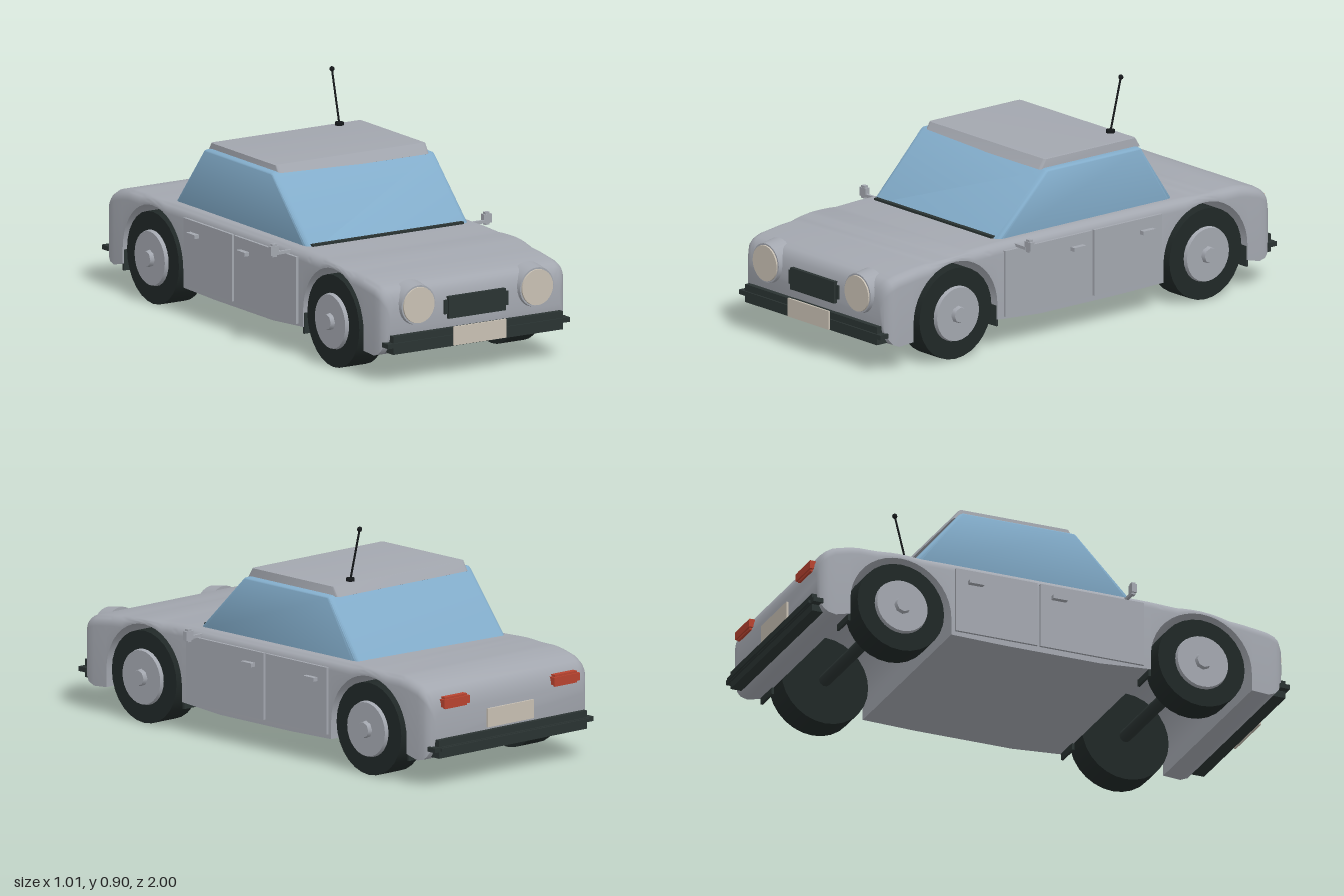
import * as THREE from 'three';
import { toCreasedNormals } from 'three/addons/utils/BufferGeometryUtils.js';
import { RoundedBoxGeometry } from 'three/addons/geometries/RoundedBoxGeometry.js';

const mat = (name, color) => {
  const m = new THREE.MeshStandardMaterial({ color });
  m.name = name;
  return m;
};

// Body shell: rounded-top sections lofted from nose to tail; each ring is [z, bottom, top, halfWidth]
function bodyGeometry() {
  const tops = [[-0.966, 0.29], [-0.96, 0.325], [-0.945, 0.36], [-0.92, 0.382], [-0.88, 0.4], [-0.8, 0.412], [-0.4, 0.414],
    [0.4, 0.412], [0.62, 0.403], [0.8, 0.388], [0.9, 0.374], [0.93, 0.364], [0.945, 0.354], [0.96, 0.33], [0.967, 0.29]];
  const topAt = (z) => {
    let i = 1;
    while (i < tops.length - 1 && z > tops[i][0]) i++;
    const [[z0, y0], [z1, y1]] = [tops[i - 1], tops[i]];
    return y0 + (y1 - y0) * (z - z0) / (z1 - z0);
  };
  const rings = [];
  const add = (z, bottom, w = 0.42) => rings.push([z, bottom, topAt(z), w]);
  const arch = (zc) => {
    add(zc + 0.21, 0.105);
    for (let i = 0; i <= 20; i++) {
      const a = Math.PI * i / 20;
      add(zc + 0.21 * Math.cos(a), 0.175 + 0.21 * Math.sin(a));
    }
    add(zc - 0.21, 0.115);
  };
  add(0.967, 0.21, 0.387);
  add(0.96, 0.165, 0.4);
  add(0.945, 0.13, 0.413);
  add(0.93, 0.112, 0.418);
  add(0.9, 0.1);
  arch(0.62);
  add(0.2, 0.1);
  add(-0.2, 0.1);
  arch(-0.63);
  add(-0.9, 0.1);
  add(-0.93, 0.107, 0.418);
  add(-0.945, 0.12, 0.413);
  add(-0.96, 0.15, 0.4);
  add(-0.966, 0.19, 0.387);

  const pos = [], idx = [], arc = 6, n = 2 * (arc + 2);
  for (const [z, b, t, w] of rings) {
    const r = Math.min(0.04, (t - b) * 0.9);
    const half = [[w, b]];
    for (let i = 0; i <= arc; i++) {
      const a = Math.PI / 2 * i / arc;
      half.push([w - r + r * Math.cos(a), t - r + r * Math.sin(a)]);
    }
    for (const [x, y] of half) pos.push(x, y, z);
    for (const [x, y] of half.reverse()) pos.push(-x, y, z);
  }
  const last = (rings.length - 1) * n;
  for (let i = 0; i < rings.length - 1; i++) {
    for (let j = 0; j < n; j++) {
      const a = i * n + j, b = i * n + (j + 1) % n;
      idx.push(a, a + n, b, b, a + n, b + n);
    }
  }
  for (let j = 1; j < n - 1; j++) idx.push(0, j, j + 1, last, last + j + 1, last + j);
  const g = new THREE.BufferGeometry();
  g.setAttribute('position', new THREE.Float32BufferAttribute(pos, 3));
  g.setIndex(idx);
  g.computeVertexNormals();
  return toCreasedNormals(g, 0.6);
}

// Softened box whose eight corners are placed by a rule
function cornerBox(corner, radius) {
  const g = new RoundedBoxGeometry(1, 1, 1, 2, radius);
  const p = g.attributes.position;
  const v = new THREE.Vector3(), sum = new THREE.Vector3();
  for (let i = 0; i < p.count; i++) {
    v.fromBufferAttribute(p, i);
    sum.set(0, 0, 0);
    for (const sx of [-1, 1]) for (const sy of [-1, 1]) for (const sz of [-1, 1]) {
      const weight = (0.5 + sx * v.x) * (0.5 + sy * v.y) * (0.5 + sz * v.z);
      sum.addScaledVector(new THREE.Vector3(...corner(sx, sy, sz)), weight);
    }
    p.setXYZ(i, sum.x, sum.y, sum.z);
  }
  return toCreasedNormals(g, 0.6);
}

export function createModel() {
  const car = new THREE.Group();
  car.name = 'car';
  const paint = mat('grey paint', 0xa3a7af);
  const glass = mat('blue glass', 0x82acca);
  const dark = mat('dark trim', 0x2a3332);
  const rubber = mat('black rubber', 0x202827);
  const black = mat('antenna black', 0x15181a);
  const cream = mat('cream', 0xc8c0b3);
  const red = mat('red lamp', 0xb8432f);

  const mesh = (name, geo, m, x = 0, y = 0, z = 0, parent = car) => {
    const o = new THREE.Mesh(geo, m);
    o.name = name;
    o.position.set(x, y, z);
    parent.add(o);
    return o;
  };
  // Box given by its lower and upper bounds
  const box = (name, m, [x0, x1], [y0, y1], [z0, z1]) =>
    mesh(name, new THREE.BoxGeometry(x1 - x0, y1 - y0, z1 - z0), m, (x0 + x1) / 2, (y0 + y1) / 2, (z0 + z1) / 2);
  // Same box on both sides
  const pair = (name, m, [x0, x1], y, z) => {
    box('left' + name, m, [x0, x1], y, z);
    box('right' + name, m, [-x1, -x0], y, z);
  };

  mesh('body', bodyGeometry(), paint);

  // Cabin glass, slightly skewed at the rear, and roof
  mesh('cabinGlass', cornerBox((sx, sy, sz) => {
    const y = sy > 0 ? (sx > 0 ? 0.643 : 0.654) : 0.39;
    const z = sy > 0 ? (sz > 0 ? 0.12 : -0.355) : (sz > 0 ? 0.385 : (sx > 0 ? -0.525 : -0.575));
    return [sx * 0.37, y, z];
  }, 0.03), glass);
  mesh('roof', cornerBox((sx, sy, sz) => [
    sx * 0.342, sy > 0 ? 0.677 : 0.638,
    sy > 0 ? (sz > 0 ? 0.105 : -0.35) : (sz > 0 ? 0.13 : -0.375),
  ], 0.02), paint);
  box('cowlStrip', dark, [-0.35, 0.34], [0.4, 0.42], [0.32, 0.372]);

  // Doors, handles and mirrors
  pair('FrontDoor', paint, [0.415, 0.43], [0.122, 0.383], [-0.054, 0.378]);
  pair('RearDoor', paint, [0.415, 0.43], [0.122, 0.383], [-0.405, -0.066]);
  for (const z of [0.022, -0.325]) pair('DoorHandle', paint, [0.425, 0.451], [0.323, 0.338], [z - 0.03, z + 0.03]);
  pair('MirrorArm', paint, [0.41, 0.475], [0.386, 0.398], [0.304, 0.316]);
  pair('MirrorHead', paint, [0.468, 0.503], [0.385, 0.42], [0.295, 0.315]);
  pair('MirrorRim', paint, [0.475, 0.495], [0.378, 0.428], [0.297, 0.313]);

  // Wheels, axles and mud flaps
  const tyre = new THREE.CylinderGeometry(0.18, 0.18, 0.12, 28).rotateZ(-Math.PI / 2);
  const rim = new THREE.CylinderGeometry(0.105, 0.113, 0.03, 28).rotateZ(-Math.PI / 2);
  const cap = new THREE.CylinderGeometry(0.03, 0.037, 0.03, 8).rotateZ(-Math.PI / 2);
  for (const [end, z] of [['front', 0.62], ['rear', -0.63]]) {
    for (const side of [1, -1]) {
      const wheel = new THREE.Group();
      wheel.name = end + (side > 0 ? 'Left' : 'Right') + 'Wheel';
      wheel.position.set(side * 0.36, 0.18, z);
      if (side < 0) wheel.rotation.y = Math.PI;
      mesh('tyre', tyre, rubber, 0, 0, 0, wheel);
      mesh('rim', rim, paint, 0.06, 0, 0, wheel);
      mesh('hubCap', cap, paint, 0.077, 0, 0, wheel);
      car.add(wheel);
    }
    mesh(end + 'Axle', new THREE.CylinderGeometry(0.025, 0.025, 0.62, 10).rotateZ(Math.PI / 2), dark, 0, 0.18, z);
    pair(end + 'MudFlap', dark, [0.31, 0.415], [0.088, 0.17], [z - 0.218, z - 0.208]);
  }

  // Headlights
  for (const side of [1, -1]) {
    const name = side > 0 ? 'left' : 'right';
    mesh(name + 'HeadlightShell', new THREE.CylinderGeometry(0.077, 0.087, 0.07, 32).rotateX(Math.PI / 2), paint, side * 0.27, 0.295, 0.947);
    mesh(name + 'HeadlightLens', new THREE.CylinderGeometry(0.07, 0.071, 0.008, 32).rotateX(Math.PI / 2), cream, side * 0.27, 0.295, 0.984);
  }

  // Grille, bumpers, plates and tail lamps
  box('grille', dark, [-0.13, 0.13], [0.222, 0.308], [0.93, 0.98]);
  box('grilleFrame', dark, [-0.145, 0.145], [0.24, 0.295], [0.93, 0.974]);
  for (const [end, s] of [['front', 1], ['rear', -1]]) {
    const span = (a, b) => (s > 0 ? [a, b] : [-b, -a]);
    box(end + 'Bumper', dark, [-0.387, 0.387], [0.115, 0.186], span(0.925, 0.985));
    box(end + 'BumperStrip', dark, [-0.415, 0.415], [0.142, 0.16], span(0.95, 0.992));
    const y = s > 0 ? 0.12 : 0.195;
    box(end + 'Plate', cream, [-0.12, 0.12], [y, y + 0.073], s > 0 ? span(0.992, 1) : span(0.966, 0.974));
  }
  box('rearBumperLip', dark, [-0.387, 0.387], [0.145, 0.157], [-1, -0.98]);
  pair('TailLamp', red, [0.22, 0.355], [0.308, 0.338], [-0.98, -0.94]);
  pair('TailLampCore', red, [0.23, 0.345], [0.3, 0.346], [-0.974, -0.94]);

  // Antenna
  const foot = new THREE.Vector3(0.226, 0.68, -0.32), tip = new THREE.Vector3(0.226, 0.887, -0.372);
  mesh('antennaBase', new THREE.CylinderGeometry(0.017, 0.017, 0.014, 12), black, foot.x, 0.682, foot.z);
  mesh('antennaRod', new THREE.TubeGeometry(new THREE.LineCurve3(foot, tip), 1, 0.004, 8), black);
  mesh('antennaTip', new THREE.SphereGeometry(0.01, 10, 8), black, tip.x, tip.y, tip.z);

  return car;
}
